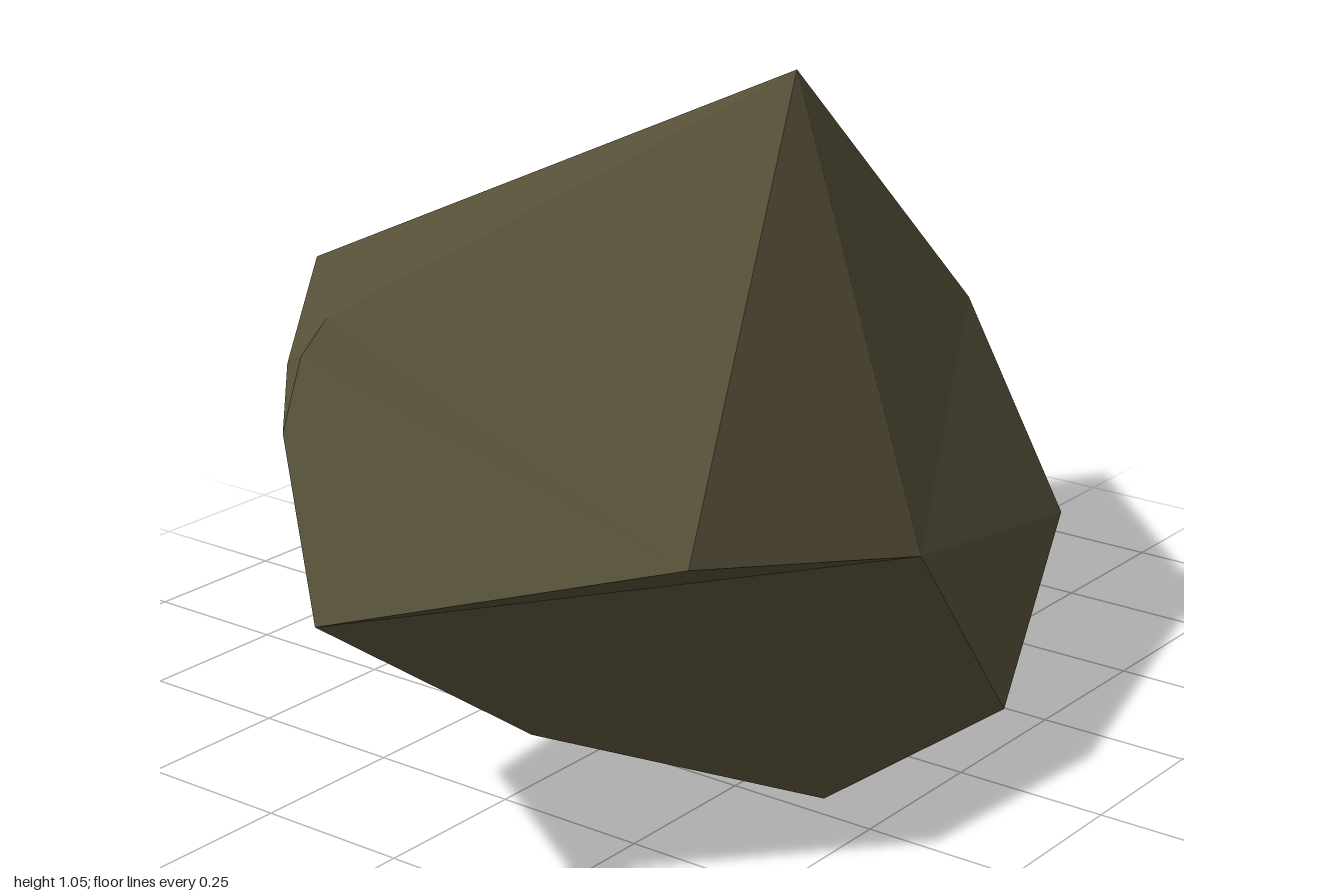
import * as THREE from 'three';

// Corners of the faceted stone
const corners = {
  A: [0.055, 1.052, 0.137],   // peak
  B: [-0.15, 0.408, 0.515], C: [-0.635, 0.522, 0.455], D: [-1, 0.472, 0.105],   // front ledge and right tip
  P: [-0.665, 0.772, -0.177], a: [-0.75, 0.74, -0.148], Q: [-0.715, 0.71, -0.21], // right shoulder
  N: [-0.855, 0.667, -0.085], M: [-0.525, 0.807, -0.328],
  G: [0.755, 0.145, 0.22], H: [0.998, 0.42, -0.137], I: [0.982, 0.287, -0.18], K: [0.755, 0.253, -0.343], // left tip
  J: [0.365, 0.745, -0.427], L: [-0.09, 0.363, -0.517],   // back
  E: [-0.205, 0, 0.385], F: [0.18, 0.034, 0.465], T: [-0.64, 0.205, 0.175],   // underside
  U: [0.4, 0.046, 0.045], V: [0.62, 0.117, -0.19], W: [0.145, 0.173, -0.215], Z: [-0.243, 0.068, 0.023],
  S: [0.305, 0.513, -0.32], X: [0.145, 0.41, -0.37],     // hollow under the back
  R: [-0.617, 0.235, -0.14], Y: [-0.583, 0.38, -0.2], O: [-0.42, 0.38, -0.287], // small notch
};

// Facets of each region, corners counter-clockwise seen from outside
const regions = {
  upperFacets: 'ABH BGH AHJ AJM AMP APC ACB CPa CaN CND',
  rightShoulder: 'PMQ PQa aQN',
  frontFacets: 'BFG BEF BCD BDT BTE',
  backFacets: 'QMY QYN NYD DYR DRT MOY MLO MJL',
  leftTip: 'GVI GIH HIK IVK JHK',
  underside: 'TRZ ETZ ZLW FEZ FZU ZWU GFU GUV UWV',
  backHollow: 'JKS KVS VWX VXS JSL SXL XWL',
  lowerNotch: 'RYZ ZYO ZOL',
};

function facetMesh(name, facets, material) {
  const positions = [...facets.replaceAll(' ', '')].flatMap((key) => corners[key]);
  const geometry = new THREE.BufferGeometry();
  geometry.setAttribute('position', new THREE.Float32BufferAttribute(positions, 3));
  geometry.computeVertexNormals(); // unshared corners give flat facets
  const mesh = new THREE.Mesh(geometry, material);
  mesh.name = name;
  return mesh;
}

export function createModel() {
  const stone = new THREE.MeshStandardMaterial({ color: 0x565038 });
  stone.name = 'olive stone';
  const rock = new THREE.Group();
  rock.name = 'rock';
  for (const [name, facets] of Object.entries(regions)) rock.add(facetMesh(name, facets, stone));
  return rock;
}
